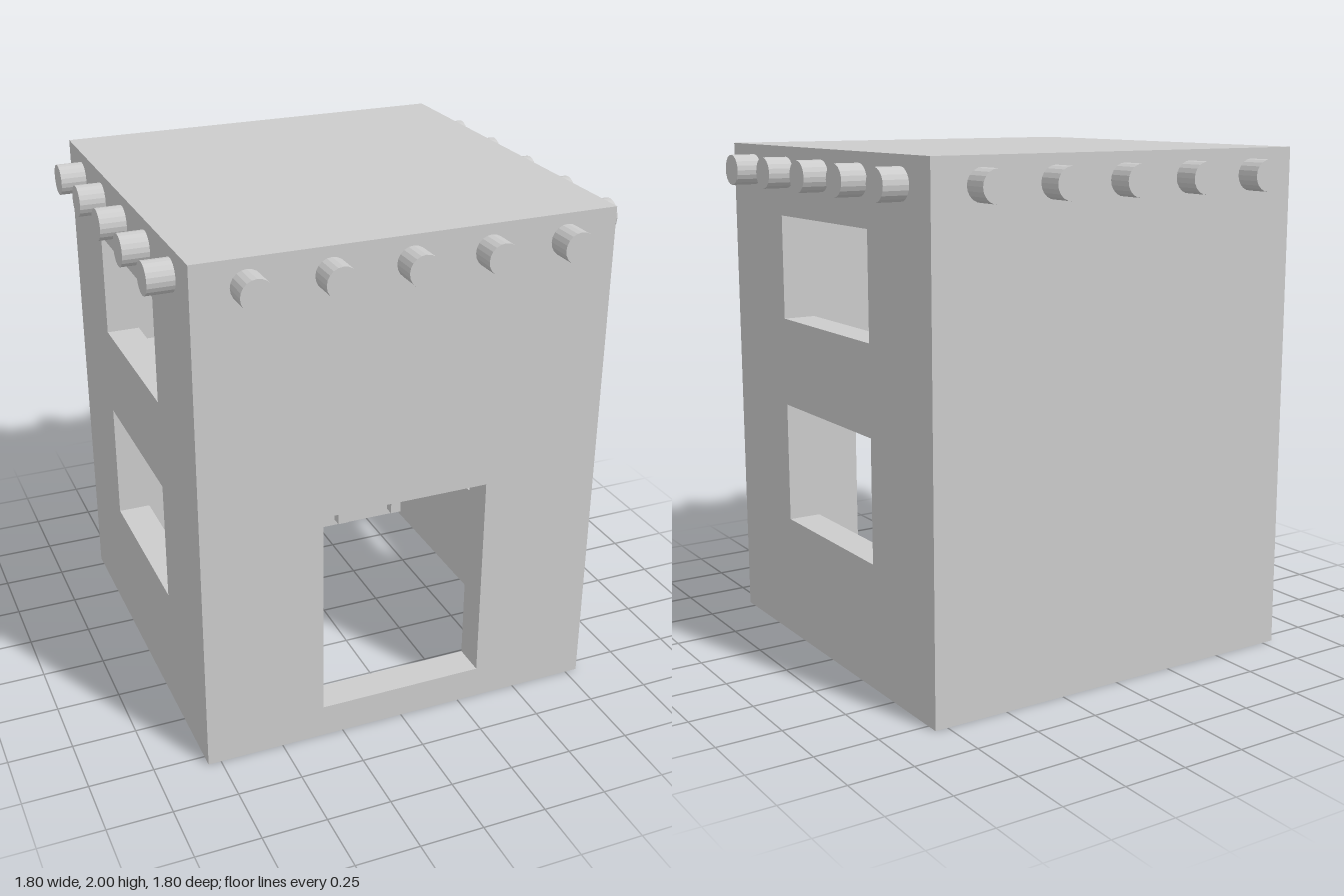
import * as THREE from 'three';

const HALF = 0.8, HEIGHT = 2, T = 0.13, INNER = HALF - T;

export function createModel() {
  const group = new THREE.Group();
  const material = new THREE.MeshStandardMaterial({ color: 0xcccccc, flatShading: true });

  const add = (name, geometry, parent = group) => {
    const mesh = new THREE.Mesh(geometry, material);
    mesh.name = name;
    parent.add(mesh);
    return mesh;
  };
  // Box given by its lower and upper corners
  const block = (name, [x0, y0, z0], [x1, y1, z1], parent) => {
    const g = new THREE.BoxGeometry(x1 - x0, y1 - y0, z1 - z0);
    g.translate((x0 + x1) / 2, (y0 + y1) / 2, (z0 + z1) / 2);
    return add(name, g, parent);
  };
  const rect = (Type, x0, y0, x1, y1) => new Type([
    new THREE.Vector2(x0, y0), new THREE.Vector2(x1, y0),
    new THREE.Vector2(x1, y1), new THREE.Vector2(x0, y1),
  ]);
  // Wall facing +z with rectangular openings, then turned to its side
  const wall = (name, halfWidth, openings, angle) => {
    const shape = rect(THREE.Shape, -halfWidth, 0, halfWidth, HEIGHT - T);
    for (const o of openings) shape.holes.push(rect(THREE.Path, ...o));
    const g = new THREE.ExtrudeGeometry(shape, { depth: T, bevelEnabled: false });
    g.translate(0, 0, INNER);
    g.rotateY(angle);
    return add(name, g);
  };

  // Walls and roof; the underside is open
  const windows = [[-0.355, 0.49, 0.355, 0.97], [-0.355, 1.32, 0.355, 1.73]];
  wall('frontWall', HALF, [[-0.33, 0.13, 0.33, 0.97]], 0);
  wall('backWall', HALF, [], Math.PI);
  wall('leftWall', INNER, windows, Math.PI / 2);
  wall('rightWall', INNER, windows, -Math.PI / 2);
  block('roof', [-HALF, HEIGHT - T, -HALF], [HALF, HEIGHT, HALF]);

  // Rows of beam ends below the roof edge, on all four sides
  for (let side = 0; side < 4; side++) {
    const row = new THREE.Group();
    row.name = 'beamEnds';
    row.rotation.y = side * Math.PI / 2;
    for (let i = -2; i <= 2; i++) {
      const g = new THREE.CylinderGeometry(0.06, 0.06, 0.1, 20);
      g.rotateX(Math.PI / 2);
      g.translate(i * 0.3, 1.9, HALF + 0.05);
      add('beamEnd', g, row);
    }
    group.add(row);
  }

  // Upper floor over the back of the room, leaving a gap for the ladder
  block('upperFloor', [-INNER, 1.02, -INNER], [0.3, 1.13, 0]);

  // Ladder against the back wall
  const ladder = new THREE.Group();
  ladder.name = 'ladder';
  for (const x of [0.33, 0.61]) block('ladderRail', [x, 0.03, -INNER], [x + 0.05, 1.6, -0.62], ladder);
  for (let y = 0.2; y < 1.5; y += 0.2) {
    block('ladderRung', [0.38, y - 0.02, -0.665], [0.61, y + 0.02, -0.625], ladder);
  }
  group.add(ladder);

  return group;
}
